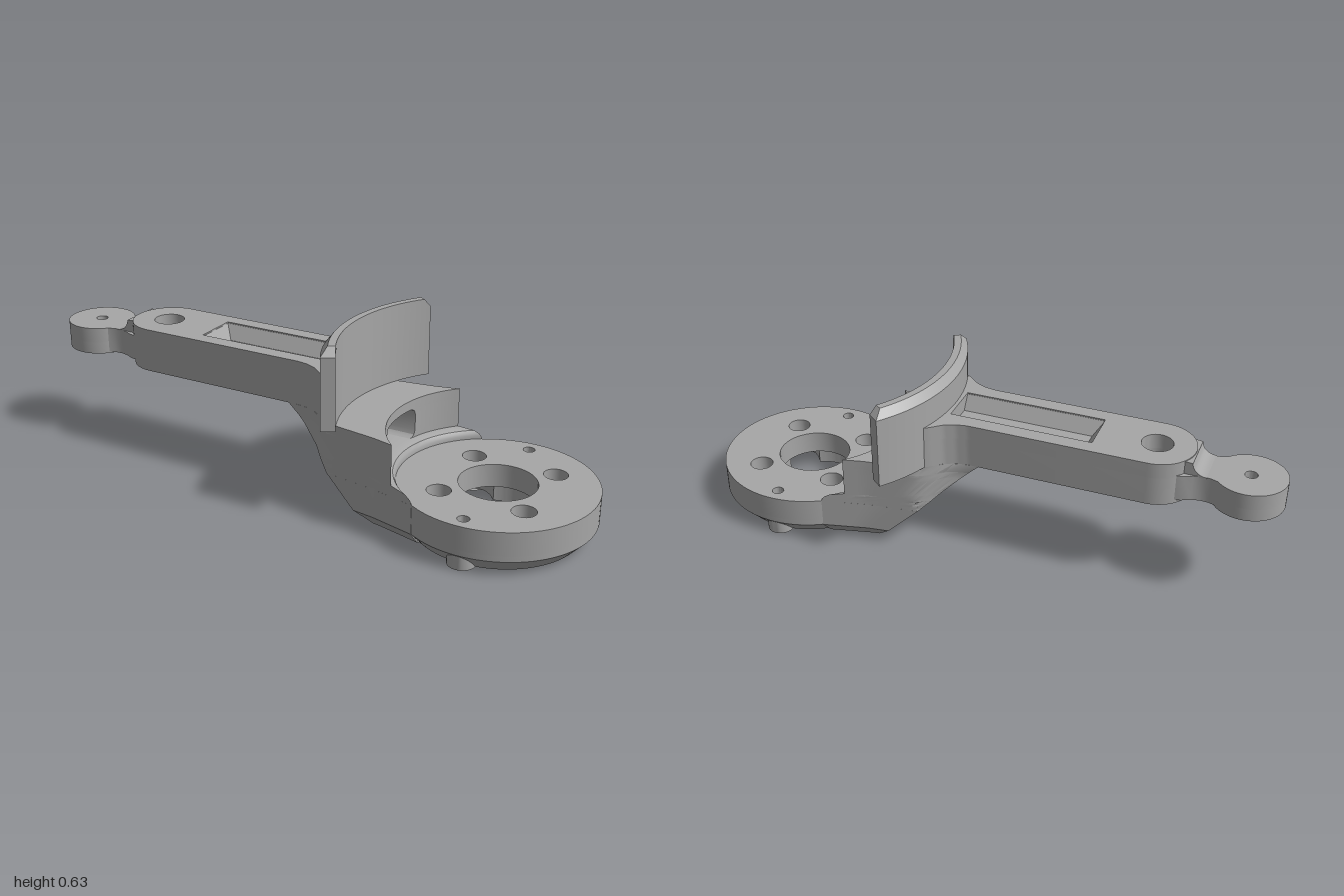
import * as THREE from 'three';
import { toCreasedNormals } from 'three/addons/utils/BufferGeometryUtils.js';

const V = (u, v) => new THREE.Vector2(u, v);
const range = (n, f) => Array.from({ length: n }, (_, i) => f(i));
const lerp = THREE.MathUtils.lerp;

// Half-width of the arm and neck along the main axis (u = 0 is the disc centre)
const WIDTH = [[-2, .135], [-.69, .135], [-.65, .142], [-.61, .16], [-.57, .195], [-.53, .222], [-.34, .25], [-.18, .29], [0, .33]];
function halfWidth(u) {
  const i = Math.max(1, WIDTH.findIndex(p => p[0] >= u));
  const [a, b] = [WIDTH[i - 1], WIDTH[i]];
  return lerp(a[1], b[1], (u - a[0]) / (b[0] - a[0]));
}

// Flat slab from a plan outline (u, v) with holes, between two heights
function slab(outline, holes, y0, y1) {
  const shape = new THREE.Shape(outline);
  shape.holes = holes.map(h => new THREE.Path(h));
  const g = new THREE.ExtrudeGeometry(shape, { depth: y1 - y0, bevelEnabled: false });
  return g.rotateX(Math.PI / 2).translate(0, y1, 0);
}

// Solid through plan outlines that change with height
function loft(outline, ys) {
  let rings = ys.map(outline);
  if (THREE.ShapeUtils.area(rings[0]) < 0) rings = rings.map(r => r.reverse());
  const pos = [], n = rings[0].length, top = ys.length - 1;
  const put = (k, i) => pos.push(rings[k][i % n].x, ys[k], rings[k][i % n].y);
  for (let k = 0; k < top; k++) for (let i = 0; i < n; i++) {
    put(k, i); put(k + 1, i); put(k, i + 1);
    put(k, i + 1); put(k + 1, i); put(k + 1, i + 1);
  }
  for (const [a, b, c] of THREE.ShapeUtils.triangulateShape(rings[0], [])) { put(0, a); put(0, b); put(0, c); }
  for (const [a, b, c] of THREE.ShapeUtils.triangulateShape(rings[top], [])) { put(top, a); put(top, c); put(top, b); }
  const g = new THREE.BufferGeometry();
  g.setAttribute('position', new THREE.Float32BufferAttribute(pos, 3));
  return g;
}

const circle = (u, v, r, n = 48) => range(n, i => V(u + r * Math.cos(i / n * 2 * Math.PI), v + r * Math.sin(i / n * 2 * Math.PI)));
const mirrored = half => [...half, ...half.slice(0, -1).reverse().map(p => V(p.x, -p.y))];

export function createModel() {
  const grey = new THREE.MeshStandardMaterial({ color: 0xa6a6a6 });
  grey.name = 'grey';
  const model = new THREE.Group();
  const body = new THREE.Group();
  body.name = 'bracket';
  body.position.set(.66, 0, -.19);
  body.rotation.y = .363;
  model.add(body);
  const add = (name, geo) => {
    const mesh = new THREE.Mesh(toCreasedNormals(geo.index ? geo.toNonIndexed() : geo, .5), grey);
    mesh.name = name;
    body.add(mesh);
    return mesh;
  };

  // Mounting disc: drilled plate over a chamfered base with a clover recess
  const bolts = range(4, i => (i + .5) * Math.PI / 2);
  const boltHoles = bolts.map(a => circle(.21 * Math.cos(a), .21 * Math.sin(a), .042, 24));
  const earHoles = [-1, 1].map(s => circle(0, .288 * s, .021, 16));
  add('discPlate', slab(circle(0, 0, .34, 96), [circle(0, 0, .134), ...boltHoles, ...earHoles], .075, .16));
  const clover = range(144, i => {
    const a = i / 144 * 2 * Math.PI;
    const off = Math.min(...bolts.map(b => Math.abs(Math.atan2(Math.sin(a - b), Math.cos(a - b)))));
    const q = .065 ** 2 - (.21 * Math.sin(off)) ** 2;
    const r = q > 0 ? .21 * Math.cos(off) + Math.sqrt(q) : 0;
    return V(Math.max(r, .175) * Math.cos(a), Math.max(r, .175) * Math.sin(a));
  });
  add('discRim', slab(circle(0, 0, .34, 96), [clover, ...earHoles], .055, .075));
  const base = slab(circle(0, 0, .34, 96), [clover], 0, .055);
  const p = base.attributes.position;
  for (let i = 0; i < p.count; i++) {
    if (p.getY(i) < .01 && Math.hypot(p.getX(i), p.getZ(i)) > .33) {
      p.setX(i, p.getX(i) * .855);
      p.setZ(i, p.getZ(i) * .855);
    }
  }
  add('discChamfer', base);
  for (const s of [-1, 1]) add('screwEar', slab(circle(0, .288 * s, .048, 32), [earHoles[(s + 1) / 2]], 0, .06));

  // Neck: slanted underside, hollow end wrapped around the disc, window through the middle
  const halfNeck = (y, inner = 0) => {
    const u0 = -.73 + (.345 - y) * 1.07;
    const t = THREE.MathUtils.clamp((y - .16) / .04, 0, 1);
    const cove = Math.sqrt(1 - (1 - t) ** 2);
    const uEnd = y < .16 ? -.18 : lerp(-.18, -.265, 1 - Math.sqrt(1 - t * t));
    const rEnd = y < .16 ? .285 : Math.hypot(uEnd, halfWidth(uEnd));
    const cut = Math.max(0, .055 - y) * .9;
    const side = range(17, i => {
      const u = lerp(u0, uEnd, i / 16);
      return V(u, halfWidth(u) - cut);
    });
    const a0 = Math.atan2(halfWidth(uEnd), -uEnd), a1 = Math.asin(inner / rEnd);
    const arc = range(14, i => {
      const a = lerp(a0, a1, (i + 1) / 14);
      return V(-rEnd * Math.cos(a), rEnd * Math.sin(a));
    });
    return [...side, ...arc];
  };
  const neck = y => mirrored(halfNeck(y));
  add('neckBase', loft(neck, [0, .055, .1599]));
  add('neckCove', loft(neck, [.16, .165, .172, .18, .19, .2]));
  add('neckTop', loft(neck, [.31, .345]));
  for (const s of [-1, 1]) {
    add('neckWindowWall', loft(y => {
      const d = Math.max(0, .225 - y, y - .285);
      const inner = .11 - (.025 - Math.sqrt(Math.max(0, .025 ** 2 - d * d)));
      const u0 = -.73 + (.345 - y) * 1.07;
      return [...halfNeck(y, inner), V(u0, inner)].map(q => V(q.x, q.y * s));
    }, [.2, .203, .21, .225, .285, .3, .307, .31]));
  }

  // Curved shield, concentric with the disc, bevelled along the top
  add('shield', loft(y => {
    const c = Math.max(0, y - .605);
    const a0 = -.68 + c * 1.6, a1 = .52 - c * 1.6, rOut = .592 - c * .8;
    const arc = (r, from, to) => range(33, i => {
      const a = lerp(from, to, i / 32);
      return V(-r * Math.cos(a), r * Math.sin(a));
    });
    return [...arc(.542, a0, a1), ...arc(rOut, a1, a0)];
  }, [.345, .605, .635]));

  // Arm: rounded at the pivot, flaring into the shield, with a trough on top
  const pivot = -1.326;
  const armHalf = [
    ...range(17, i => {
      const a = Math.PI - i / 16 * Math.PI / 2;
      return V(pivot + .135 * Math.cos(a), .135 * Math.sin(a));
    }),
    ...range(24, i => {
      const u = lerp(-.72, -.53, i / 23);
      return V(u, halfWidth(u));
    }),
    ...range(9, i => {
      const a = .39 * (1 - (i + 1) / 9);
      return V(-.56 * Math.cos(a), .56 * Math.sin(a));
    }),
  ];
  // the tip on the axis is shared by both halves, so drop its copy
  const arm = mirrored(armHalf).slice(0, -1);
  const pivotHole = circle(pivot, 0, .055, 32);
  const trough = [V(-1.12, -.08), V(-.605, -.08), V(-.605, .08), V(-1.12, .08)];
  add('armLower', slab(arm, [pivotHole], .345, .45));
  add('armUpper', slab(arm, [pivotHole, trough], .45, .505));
  for (const s of [-1, 1]) {
    add('troughSlope', loft(y => {
      const v = lerp(.045, .079, (y - .45) / .05);
      return [V(-1.12, s * v), V(-.605, s * v), V(-.605, s * .08), V(-1.12, s * .08)];
    }, [.45, .5]));
  }
  add('troughEndSlope', loft(y => {
    const u = lerp(-1.085, -1.119, (y - .45) / .05);
    return [V(-1.12, -.08), V(u, -.08), V(u, .08), V(-1.12, .08)];
  }, [.45, .5]));

  // Link between arm and end eye: waisted, with a cove rising to the arm
  const tip = -1.648;
  const waist = [V(-1.60, .105), V(-1.56, .085), V(-1.53, .074), V(-1.50, .072), V(-1.47, .08), V(-1.44, .095), V(-1.40, .1)];
  const link = [...waist, ...waist.slice().reverse().map(q => V(q.x, -q.y))];
  add('link', slab(link, [], .36, .455));
  const cove = new THREE.Shape([V(-1.40, .45), V(-1.40, .505),
    ...range(8, i => {
      const a = i / 7 * Math.PI / 2;
      return V(-1.465 - .05 * (1 - Math.cos(a)), .5 - .045 * Math.sin(a));
    }), V(-1.515, .45)]);
  add('linkCove', new THREE.ExtrudeGeometry(cove, { depth: .15, bevelEnabled: false }).translate(0, 0, -.075));

  // End eye: small bore above, hexagonal nut seat below
  const eye = circle(tip, 0, .125, 64);
  add('eyeTop', slab(eye, [circle(tip, 0, .022, 24)], .4, .455));
  add('eyeNutSeat', slab(eye, [circle(tip, 0, .055, 6)], .355, .4));
  return model;
}
